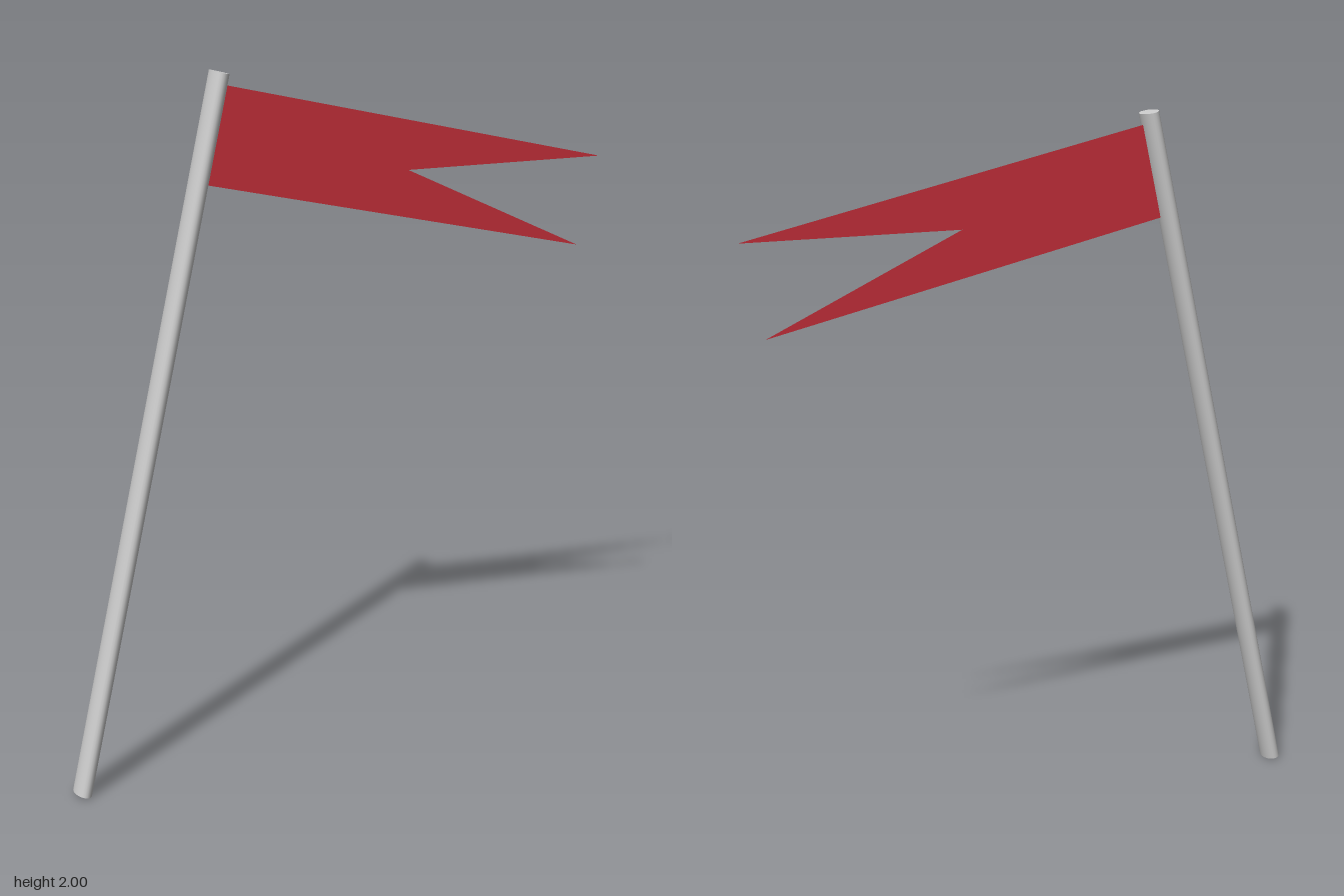
import * as THREE from 'three';

export function createModel() {
  const group = new THREE.Group();
  group.name = 'pennantOnPole';

  // Leaning pole, oval in section
  const bottom = new THREE.Vector2(-0.803, 0.006);
  const top = new THREE.Vector2(-0.349, 1.994);
  const lean = top.clone().sub(bottom);
  const poleGeometry = new THREE.CylinderGeometry(1, 1, lean.length(), 24);
  poleGeometry.scale(0.025, 1, 0.04);
  const pole = new THREE.Mesh(poleGeometry, new THREE.MeshStandardMaterial({ color: 0xcccccc }));
  pole.name = 'pole';
  pole.position.set((bottom.x + top.x) / 2, (bottom.y + top.y) / 2, 0);
  pole.rotation.z = -Math.atan2(lean.x, lean.y);
  group.add(pole);

  // Flat swallow-tailed flag, rooted in the pole's axis
  const outline = [
    [-0.355, 1.964], [0.827, 1.692], [0.207, 1.696], [0.763, 1.435], [-0.415, 1.705],
  ].map(([x, y]) => new THREE.Vector2(x, y));
  const flag = new THREE.Mesh(
    new THREE.ShapeGeometry(new THREE.Shape(outline)),
    new THREE.MeshStandardMaterial({ color: 0xc62f3a, side: THREE.DoubleSide }),
  );
  flag.name = 'flag';
  group.add(flag);

  return group;
}
